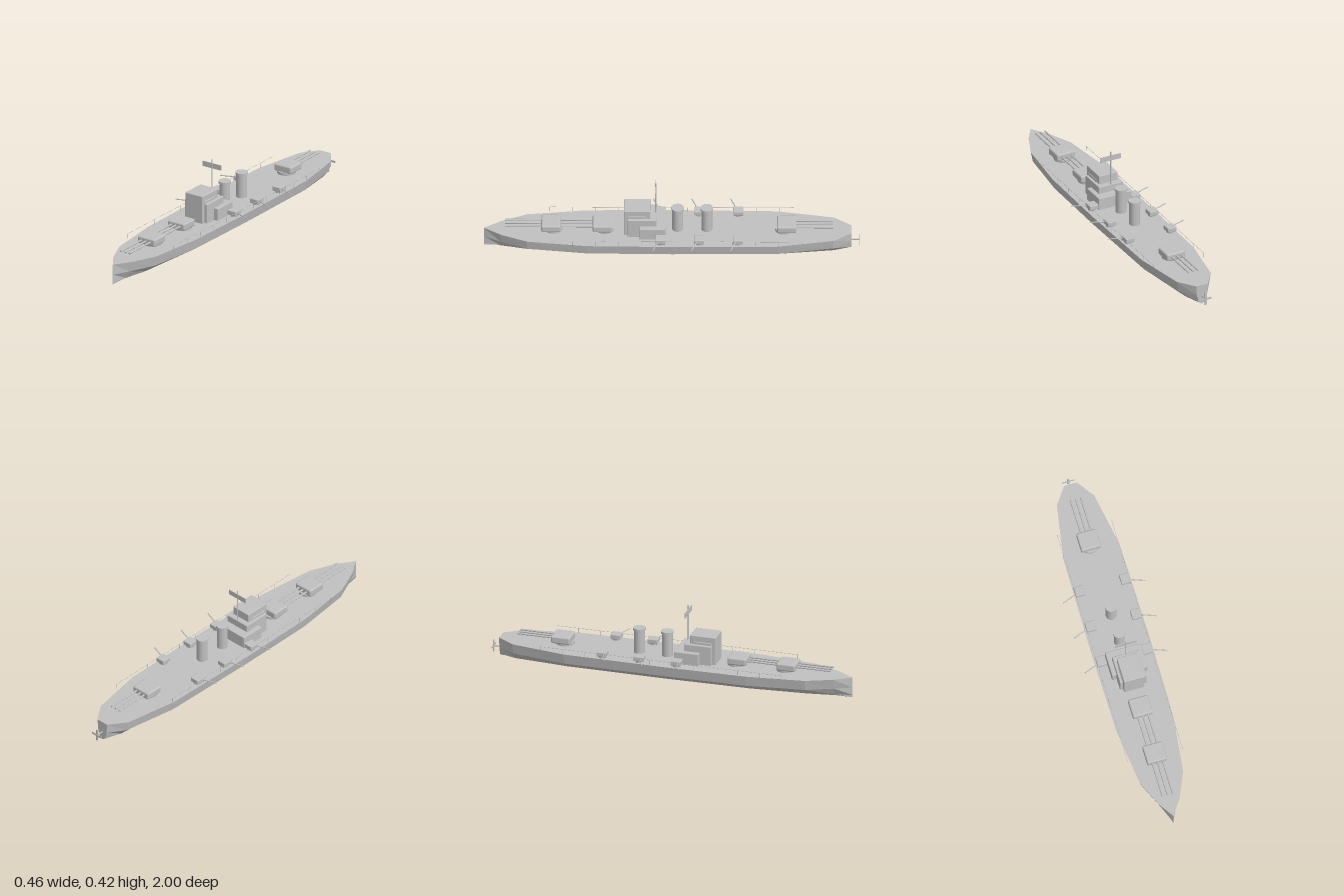
import * as THREE from 'three';
import { RoundedBoxGeometry } from 'three/addons/geometries/RoundedBoxGeometry.js';

export function createModel() {
  const ship = new THREE.Group();
  ship.name = 'warship';
  const grey = new THREE.MeshStandardMaterial({ color: 0xc0c0c0 });
  grey.name = 'hull grey';
  const DECK = 0.115;

  function add(name, geometry, x, y, z, parent = ship) {
    const mesh = new THREE.Mesh(geometry, grey);
    mesh.name = name;
    mesh.position.set(x, y, z);
    parent.add(mesh);
    return mesh;
  }
  // box given by its limits, with softly rounded edges
  function block(name, w, y0, y1, z0, z1, r = 0.004, x = 0, parent = ship) {
    return add(name, new RoundedBoxGeometry(w, y1 - y0, z1 - z0, 2, r), x, (y0 + y1) / 2, (z0 + z1) / 2, parent);
  }
  // straight rod between two points
  function rod(name, a, b, r, parent = ship, sides = 10) {
    const from = new THREE.Vector3(...a), to = new THREE.Vector3(...b);
    const dir = to.clone().sub(from);
    const mesh = add(name, new THREE.CylinderGeometry(r, r, dir.length(), sides), 0, 0, 0, parent);
    mesh.position.copy(from).add(to).multiplyScalar(0.5);
    mesh.quaternion.setFromUnitVectors(new THREE.Vector3(0, 1, 0), dir.normalize());
    return mesh;
  }

  // hull: z, then half widths at deck, knuckle and bilge
  const stations = [
    [1, 0, 0, 0], [0.91, 0.06, 0.046, 0.022], [0.77, 0.12, 0.108, 0.052],
    [0.45, 0.157, 0.146, 0.077], [0, 0.162, 0.15, 0.082], [-0.56, 0.155, 0.143, 0.077],
    [-0.86, 0.103, 0.092, 0.052], [-0.955, 0.035, 0.031, 0.02],
  ];
  const rings = stations.map(([z, d, k, b]) => [
    [d, DECK, z], [k, 0.058, z], [b, 0.015, z], [0, 0.002, z],
    [-b, 0.015, z], [-k, 0.058, z], [-d, DECK, z],
  ]);
  const pos = [];
  const tri = (...pts) => pts.forEach((p) => pos.push(...p));
  for (let i = 0; i < rings.length - 1; i++) {
    for (let j = 0; j < 7; j++) {
      const n = (j + 1) % 7;
      const a = rings[i][j], b = rings[i][n], c = rings[i + 1][n], d = rings[i + 1][j];
      tri(a, b, c);
      tri(a, c, d);
    }
  }
  const stern = rings[rings.length - 1];
  for (let j = 1; j < 6; j++) tri(stern[0], stern[j], stern[j + 1]);
  const hull = new THREE.BufferGeometry();
  hull.setAttribute('position', new THREE.Float32BufferAttribute(pos, 3));
  hull.computeVertexNormals();
  add('hull', hull, 0, 0, 0);

  // three-gun main turrets, facing +z before being turned
  function mainTurret(name, z, turned) {
    const turret = new THREE.Group();
    turret.name = name;
    turret.position.z = z;
    if (turned) turret.rotation.y = Math.PI;
    add('turretBase', new THREE.CylinderGeometry(0.05, 0.05, 0.016, 24), 0, 0.122, -0.013, turret);
    block('turretHouse', 0.11, 0.126, 0.167, -0.052, 0.052, 0.009, 0, turret);
    for (const x of [-0.028, 0, 0.028]) rod('mainGunBarrel', [x, 0.149, 0.04], [x, 0.149, 0.245], 0.005, turret);
    ship.add(turret);
  }
  mainTurret('forwardTurret', 0.643, false);
  mainTurret('raisedForwardTurret', 0.37, false);
  mainTurret('aftTurret', -0.61, true);

  // stepped bridge
  block('lowerBridge', 0.196, DECK - 0.004, 0.183, 0.035, 0.172);
  block('middleBridge', 0.146, DECK - 0.004, 0.223, 0.083, 0.236);
  block('upperBridge', 0.112, DECK - 0.004, 0.271, 0.113, 0.255);
  block('bridgeBand', 0.118, 0.213, 0.238, 0.14, 0.235);

  // mast with a flat aerial
  rod('mast', [0, 0.218, 0.087], [0, 0.418, 0.087], 0.0035);
  add('aerial', new THREE.BoxGeometry(0.12, 0.029, 0.004), 0, 0.381, 0.087);

  // funnels with a lip
  for (const z of [-0.03, -0.185]) {
    const profile = [[0.029, 0.11], [0.029, 0.245], [0.034, 0.245], [0.034, 0.256], [0, 0.256]];
    const shape = profile.slice(0, -1);
    for (let i = 0; i < shape.length - 1; i++) {
      const [r0, y0] = shape[i], [r1, y1] = shape[i + 1];
      if (y1 > y0) add(i ? 'funnelLip' : 'funnel', new THREE.CylinderGeometry(r1, r0, y1 - y0, 24), 0, (y0 + y1) / 2, z);
    }
  }

  for (const s of [-1, 1]) {
    // secondary guns along both sides
    for (const z of [-0.352, -0.145, 0.06]) {
      const gun = new THREE.Group();
      gun.name = s > 0 ? 'leftSideGun' : 'rightSideGun';
      add('sideGunBase', new THREE.CylinderGeometry(0.022, 0.022, 0.014, 16), s * 0.126, 0.12, z, gun);
      block('sideGunHouse', 0.052, 0.124, 0.15, z - 0.027, z + 0.027, 0.004, s * 0.126, gun);
      rod('sideGunBarrel', [s * 0.14, 0.14, z + 0.008], [s * 0.228, 0.14, z + 0.041], 0.003, gun);
      ship.add(gun);
    }
    // railings
    const x = s * 0.15;
    rod('railing', [x, 0.142, -0.69], [x, 0.142, 0.65], 0.001, ship, 6);
    for (let i = 0; i <= 11; i++) {
      const z = -0.69 + (i * 1.34) / 11;
      rod('railingPost', [x, DECK, z], [x, 0.142, z], 0.001, ship, 6);
    }
  }

  // propeller
  rod('propellerShaft', [0, 0.05, -0.94], [0, 0.05, -1], 0.004);
  for (let i = 0; i < 4; i++) {
    const a = (i * Math.PI) / 2;
    const blade = add('propellerBlade', new THREE.BoxGeometry(0.03, 0.011, 0.003), Math.cos(a) * 0.019, 0.05 + Math.sin(a) * 0.019, -0.996);
    blade.rotation.z = a;
  }
  return ship;
}
